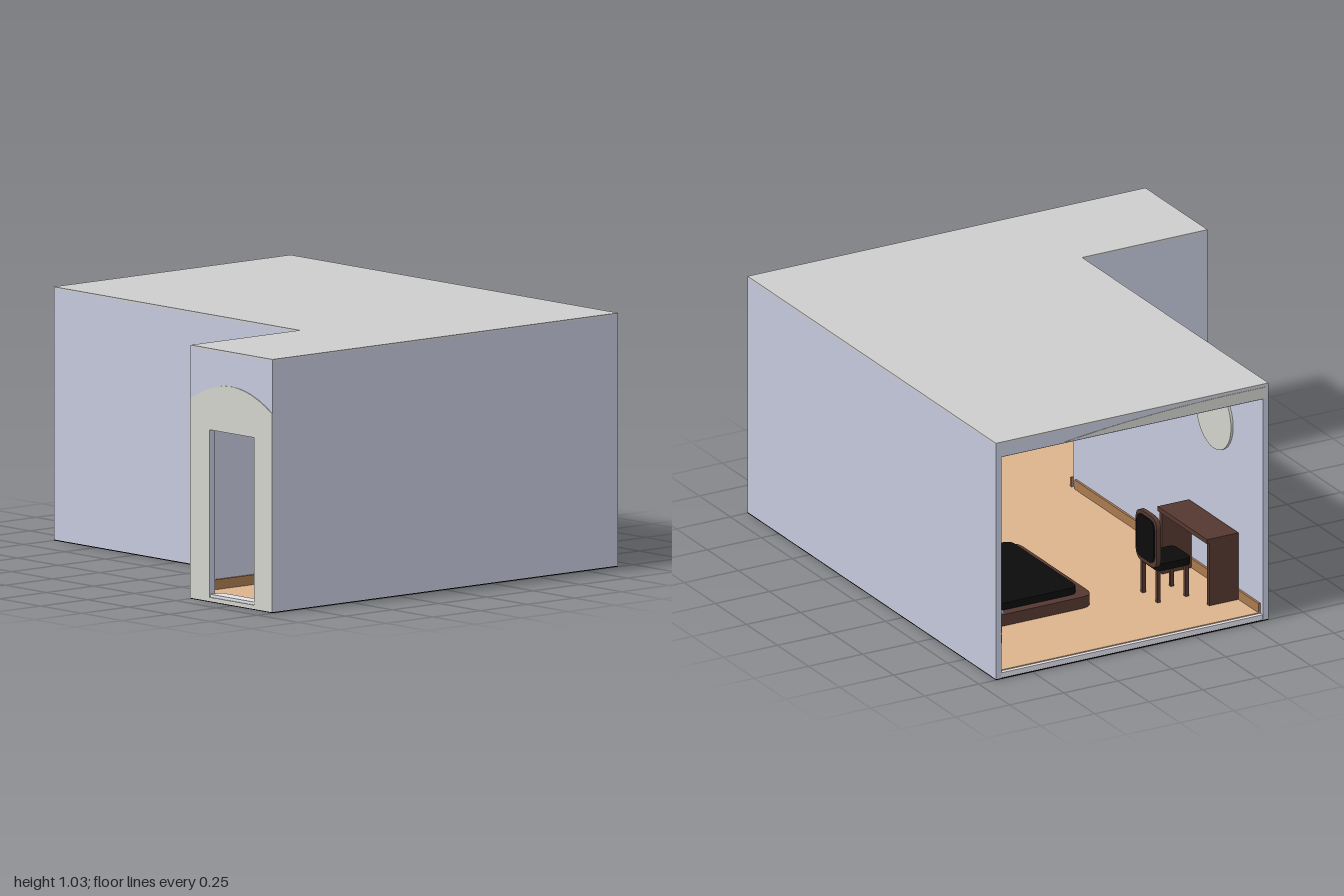
import * as THREE from 'three';

const mat = (name, color) => {
  const m = new THREE.MeshStandardMaterial({ color });
  m.name = name;
  return m;
};

export function createModel() {
  const wall = mat('lavender wall', 0xc4c8db);
  const roofGrey = mat('roof grey', 0xcccccc);
  const black = mat('black', 0x0b0b0b);
  const tan = mat('tan floor', 0xdbb28c);
  const brown = mat('dark brown', 0x543830);
  const wood = mat('skirting wood', 0xa8794f);
  const white = mat('white', 0xe4e4ec);
  const beige = mat('warm grey', 0xd2d2cb);

  const root = new THREE.Group();
  root.name = 'bedroom';

  const add = (name, geo, material, parent = root) => {
    const m = new THREE.Mesh(geo, material);
    m.name = name;
    parent.add(m);
    return m;
  };
  // Box given by its limits on each axis
  const box = (name, [x0, x1], [y0, y1], [z0, z1], material, parent = root) => {
    const m = add(name, new THREE.BoxGeometry(x1 - x0, y1 - y0, z1 - z0), material, parent);
    m.position.set((x0 + x1) / 2, (y0 + y1) / 2, (z0 + z1) / 2);
    return m;
  };
  // Horizontal slab from a plan shape drawn with (x, -z)
  const slab = (name, shape, y, h, material, parent = root) => {
    const g = new THREE.ExtrudeGeometry(shape, { depth: h, bevelEnabled: false, curveSegments: 6 });
    g.rotateX(-Math.PI / 2);
    g.translate(0, y, 0);
    return add(name, g, material, parent);
  };
  // L-shaped plan, inset by d
  const plan = (d) => new THREE.Shape([
    [-0.92 + d, -1 + d], [0.92 - d, -1 + d], [0.92 - d, 1 - d],
    [-0.34 + d, 1 - d], [-0.34 + d, -0.5 - d], [-0.92 + d, -0.5 - d],
  ].map(([x, y]) => new THREE.Vector2(x, y)));
  const rounded = (x0, x1, y0, y1, r) => {
    const s = new THREE.Shape();
    s.moveTo(x0 + r, y0);
    s.lineTo(x1 - r, y0); s.quadraticCurveTo(x1, y0, x1, y0 + r);
    s.lineTo(x1, y1 - r); s.quadraticCurveTo(x1, y1, x1 - r, y1);
    s.lineTo(x0 + r, y1); s.quadraticCurveTo(x0, y1, x0, y1 - r);
    s.lineTo(x0, y0 + r); s.quadraticCurveTo(x0, y0, x0 + r, y0);
    return s;
  };
  // Upright plate facing -x, from a shape drawn with (z, y)
  const sidePlate = (name, shape, x, depth, material, parent = root) => {
    const g = new THREE.ExtrudeGeometry(shape, { depth, bevelEnabled: false, curveSegments: 12 });
    g.rotateY(-Math.PI / 2);
    g.translate(x + depth, 0, 0);
    return add(name, g, material, parent);
  };
  const doorHole = () => new THREE.Path([[0.62, 0.02], [0.62, 0.7], [0.89, 0.7], [0.89, 0.02]]
    .map(([z, y]) => new THREE.Vector2(z, y)));

  // Shell: base, floor, walls, ceiling and roof
  slab('base', plan(0), 0, 0.004, black);
  slab('floorEdge', plan(0.002), 0.004, 0.022, white);
  slab('floor', plan(0.02), 0.026, 0.004, tan);
  const H = [0.004, 1.022];
  box('frontWall', [-0.92, 0.92], H, [0.975, 1], wall);
  box('leftWall', [0.895, 0.92], H, [-1, 0.975], wall);
  box('rightWall', [-0.34, -0.315], H, [-1, 0.5], wall);
  box('hallWall', [-0.92, -0.315], H, [0.5, 0.525], wall);
  const end = new THREE.Shape([[0.525, 0.004], [0.975, 0.004], [0.975, 1.022], [0.525, 1.022]]
    .map(([z, y]) => new THREE.Vector2(z, y)));
  end.holes.push(doorHole());
  sidePlate('doorWall', end, -0.92, 0.025, wall);
  slab('ceiling', plan(0.01), 0.99, 0.032, wall);
  slab('roof', plan(0), 1.022, 0.008, roofGrey);
  box('backHeader', [-0.315, 0.895], [0.965, 0.99], [-1, -0.97], wall);
  box('headerFace', [-0.315, 0.895], [0.985, 1.022], [-1, -0.98], wall);

  // Arched panel around the doorway
  const arch = new THREE.Shape();
  arch.moveTo(0.5, 0.004);
  arch.lineTo(1, 0.004);
  arch.lineTo(1, 0.81);
  arch.quadraticCurveTo(0.75, 0.97, 0.5, 0.81);
  arch.holes.push(doorHole());
  sidePlate('doorArch', arch, -0.923, 0.003, beige);
  box('doorSill', [-0.92, -0.86], [0.026, 0.032], [0.62, 0.89], white);

  // Pale panel on the back header
  const band = new THREE.Shape();
  band.moveTo(-0.33, 0.97);
  band.lineTo(0.6, 0.97);
  band.quadraticCurveTo(0.2, 1.02, -0.33, 1.015);
  add('headerPanel', new THREE.ExtrudeGeometry(band, { depth: 0.002, bevelEnabled: false }), beige).position.z = -1.002;

  // Skirting boards
  const S = [0.03, 0.07];
  box('skirting', [0.885, 0.895], S, [-0.98, 0.975], wood);
  box('skirting', [-0.315, -0.305], S, [-0.98, 0.5], wood);
  box('skirting', [-0.895, 0.885], S, [0.965, 0.975], wood);
  box('skirting', [-0.895, -0.305], S, [0.525, 0.535], wood);

  // Ceiling border and hanging panels
  const C = [0.95, 0.99];
  box('ceilingBorder', [-0.315, -0.21], C, [-0.97, 0.5], wall);
  box('ceilingBorder', [0.8, 0.895], C, [-0.97, 0.975], wall);
  box('ceilingBorder', [-0.21, 0.8], C, [-0.97, -0.9], wall);
  box('ceilingBorder', [-0.21, 0.8], C, [0.88, 0.975], wall);
  for (const z of [-0.81, -0.25, 0.31]) {
    slab('ceilingPanel', rounded(-0.08, 0.73, -z - 0.38, -z, 0.05), 0.955, 0.035, wall);
    slab('ceilingLightRim', rounded(-0.085, 0.735, -z - 0.385, -z + 0.005, 0.05), 0.965, 0.012, white);
  }

  // Bed: platform, mattress and padded headboard
  const bed = new THREE.Group();
  bed.name = 'bed';
  root.add(bed);
  slab('bedFrame', rounded(0.23, 0.88, -0.04, 0.59, 0.06), 0.03, 0.05, brown, bed);
  slab('mattress', rounded(0.28, 0.87, 0, 0.55, 0.04), 0.08, 0.03, black, bed);
  sidePlate('headboard', rounded(-0.59, 0.04, 0.03, 0.37, 0.06), 0.855, 0.035, brown, bed);
  sidePlate('headboardPad', rounded(-0.56, 0.01, 0.06, 0.34, 0.05), 0.845, 0.01, black, bed);

  // Bedside cabinets with drawers facing the room
  const cabinet = (name, z, body, front) => {
    const g = new THREE.Group();
    g.name = name;
    root.add(g);
    box('cabinetBody', [0.76, 0.885], [0.03, 0.17], [z + 0.005, z + 0.135], body, g);
    box('cabinetTop', [0.75, 0.89], [0.17, 0.18], [z, z + 0.14], body, g);
    for (let i = 0; i < 3; i++) {
      const y = 0.04 + i * 0.043;
      box('drawer', [0.753, 0.76], [y, y + 0.036], [z + 0.012, z + 0.128], front, g);
      box('drawerHandle', [0.748, 0.753], [y + 0.016, y + 0.022], [z + 0.05, z + 0.09], black, g);
    }
  };
  cabinet('nearCabinet', -0.77, wall, wall);
  cabinet('farCabinet', 0.09, black, white);
  box('farCabinetPanel', [0.77, 0.87], [0.04, 0.16], [0.087, 0.095], tan);
  box('bedsideBox', [0.8, 0.87], [0.18, 0.22], [0.11, 0.2], black);

  // Framed picture above the bed
  box('pictureFrame', [0.883, 0.895], [0.46, 0.88], [-0.58, -0.13], black);
  box('pictureCanvas', [0.88, 0.884], [0.475, 0.865], [-0.565, -0.145], wall);
  const motif = new THREE.Shape();
  motif.absellipse(-0.36, 0.64, 0.06, 0.12, 0, Math.PI * 2);
  sidePlate('pictureMotif', motif, 0.876, 0.004, black);

  // Round mirrors on the opposite wall
  for (const z of [-0.62, -0.09]) {
    const m = add('roundMirror', new THREE.CylinderGeometry(0.14, 0.14, 0.01, 32), beige);
    m.rotation.z = Math.PI / 2;
    m.position.set(-0.31, 0.755, z);
  }
  box('wallPanel', [-0.315, -0.308], [0.55, 0.92], [0.04, 0.3], tan);

  // Dressing table and padded chair
  box('tableTop', [-0.305, -0.16], [0.3, 0.32], [-0.82, -0.42], brown);
  for (const z of [-0.82, -0.44])
    box('tableSide', [-0.305, -0.17], [0.03, 0.3], [z, z + 0.02], brown);
  const chair = new THREE.Group();
  chair.name = 'chair';
  root.add(chair);
  slab('chairSeat', rounded(-0.16, 0.0, 0.55, 0.7, 0.03), 0.17, 0.03, black, chair);
  sidePlate('chairBack', rounded(-0.71, -0.54, 0.18, 0.4, 0.05), -0.01, 0.02, brown, chair);
  sidePlate('chairPad', rounded(-0.695, -0.555, 0.2, 0.385, 0.04), -0.016, 0.032, black, chair);
  for (const x of [-0.15, -0.02])
    for (const z of [-0.69, -0.57])
      box('chairLeg', [x, x + 0.015], [0.03, 0.17], [z, z + 0.015], brown, chair);

  return root;
}
